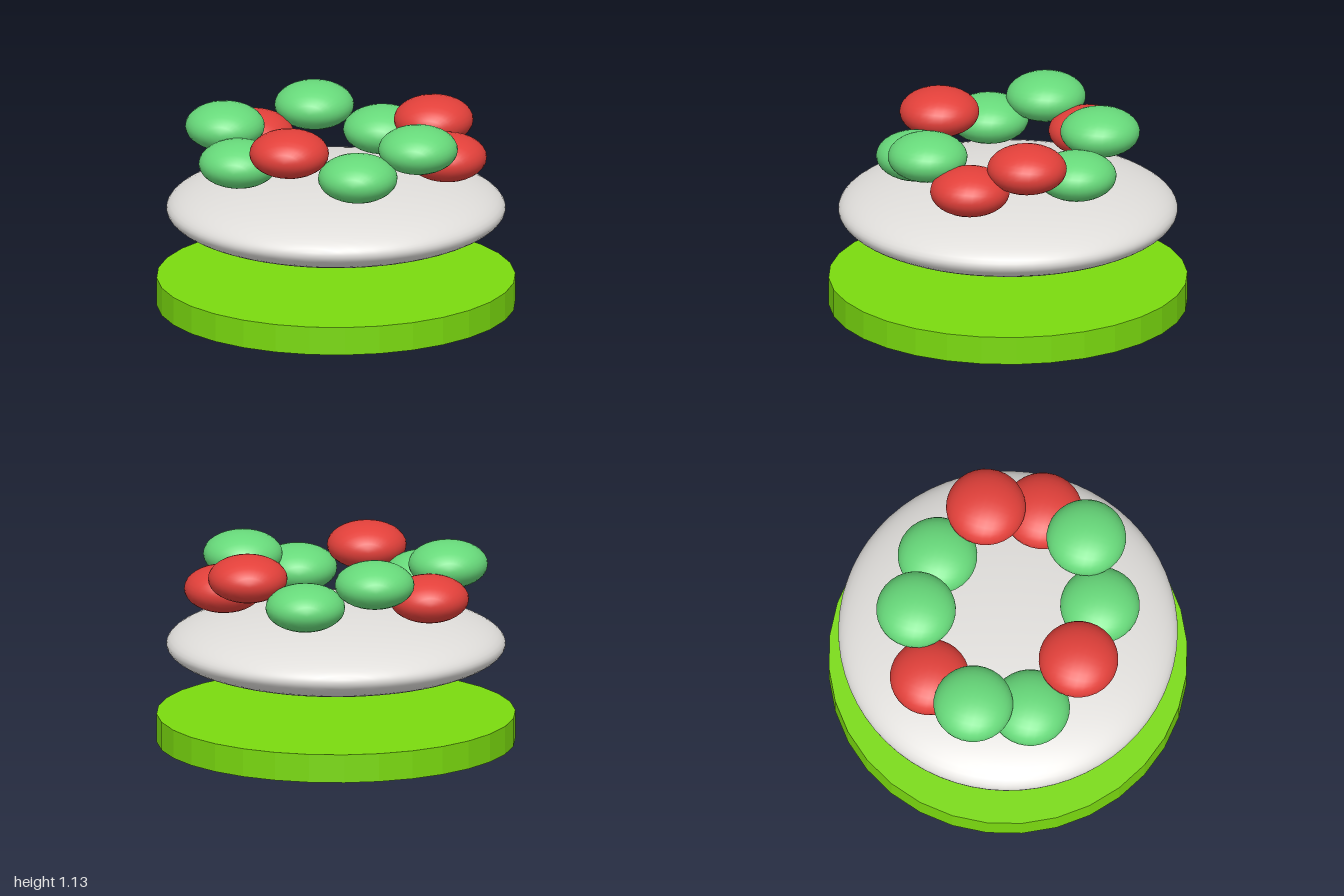
import * as THREE from 'three';

const material = (name, color) => {
  const m = new THREE.MeshStandardMaterial({ color });
  m.name = name;
  return m;
};

export function createModel() {
  const model = new THREE.Group();
  model.name = 'model';
  const lime = material('lime', 0x7ada0f);
  const paleGrey = material('pale grey', 0xe0dedb);
  const green = material('green', 0x67d97a);
  const red = material('red', 0xe2403a);

  // Squashed sphere with its poles along z
  const ellipsoid = (name, mat, rx, ry, segments) => {
    const geometry = new THREE.SphereGeometry(1, segments, segments / 2);
    geometry.rotateX(Math.PI / 2);
    geometry.scale(rx, ry, rx);
    const mesh = new THREE.Mesh(geometry, mat);
    mesh.name = name;
    model.add(mesh);
    return mesh;
  };

  // Faceted round base
  const baseGeometry = new THREE.CylinderGeometry(1, 1, 0.16, 32).toNonIndexed();
  baseGeometry.computeVertexNormals();
  const base = new THREE.Mesh(baseGeometry, lime);
  base.name = 'base';
  base.position.y = 0.08;
  model.add(base);

  // Floating lens-shaped disc
  ellipsoid('disc', paleGrey, 0.945, 0.205, 64).position.y = 0.555;

  // Oval ring of toppings, alternately low and high, every third one red
  for (let i = 0; i < 10; i++) {
    const angle = (i / 10) * Math.PI * 2;
    const topping = ellipsoid('topping' + (i + 1), i % 3 === 0 ? red : green, 0.222, 0.132, 32);
    topping.position.set(0.625 * Math.cos(angle), i % 2 ? 1.003 : 0.877, 0.5 * Math.sin(angle));
  }
  return model;
}
